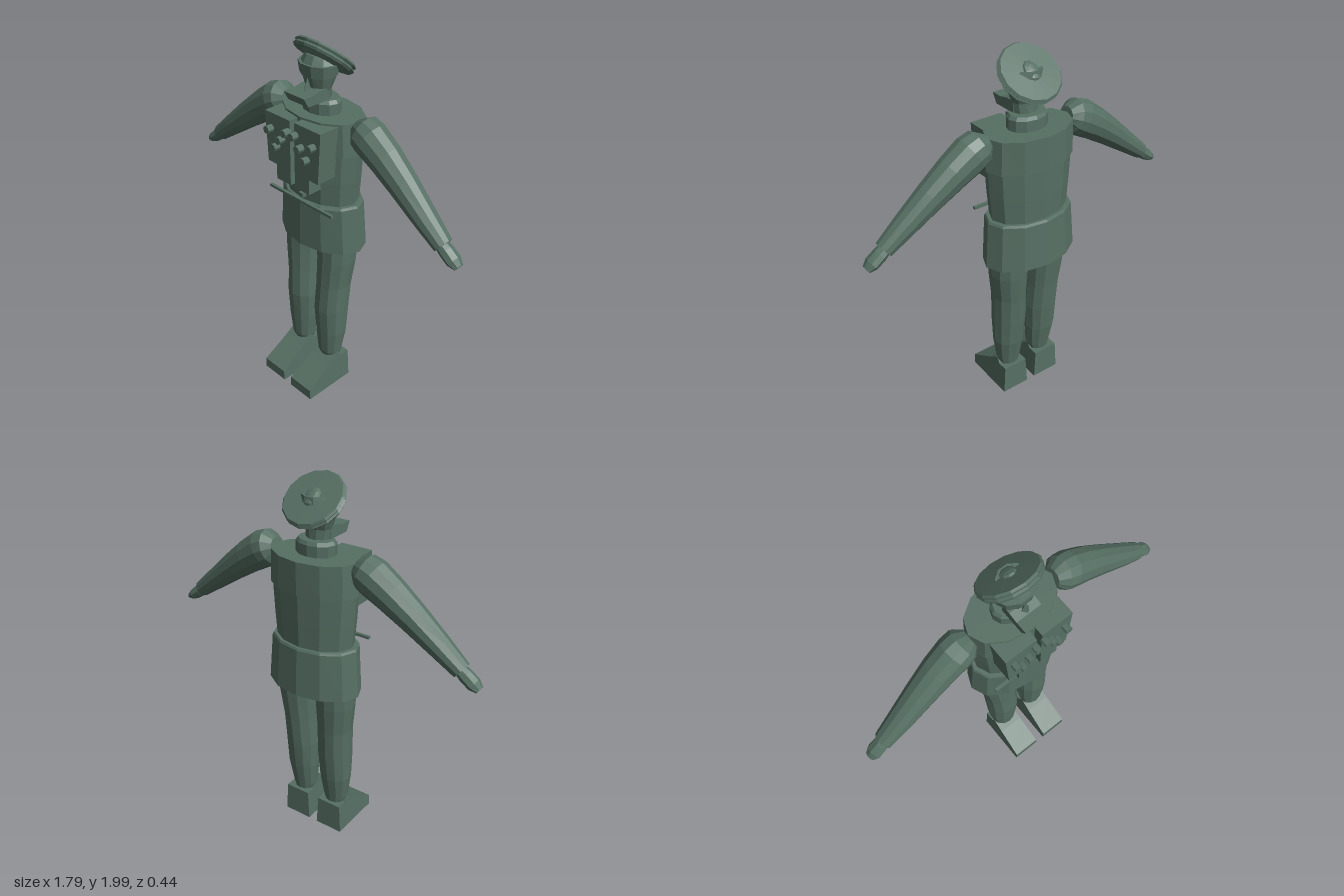
import * as THREE from 'three';

const cloth = new THREE.MeshStandardMaterial({ color: 0x566f63, flatShading: true });
cloth.name = 'drab green';

export function createModel() {
  const model = new THREE.Group();
  model.name = 'uniformedFigure';

  const add = (name, geo, parent = model) => {
    const mesh = new THREE.Mesh(geo, cloth);
    mesh.name = name;
    parent.add(mesh);
    return mesh;
  };
  const box = (name, w, h, d, x, y, z, parent) => {
    const mesh = add(name, new THREE.BoxGeometry(w, h, d), parent);
    mesh.position.set(x, y, z);
    return mesh;
  };

  // Closed skin over elliptical rings [centre, u axis, v axis], u x v along the path
  const loft = (rings, n) => {
    const pos = [];
    const pt = ([c, u, v], j) => {
      const t = (j % n) / n * Math.PI * 2;
      return c.clone().addScaledVector(u, Math.cos(t)).addScaledVector(v, Math.sin(t));
    };
    const tri = (...p) => p.forEach(q => pos.push(q.x, q.y, q.z));
    const last = rings[rings.length - 1];
    for (let j = 0; j < n; j++) {
      for (let i = 0; i < rings.length - 1; i++) {
        const a = pt(rings[i], j), b = pt(rings[i], j + 1);
        const c = pt(rings[i + 1], j + 1), d = pt(rings[i + 1], j);
        tri(a, b, d);
        tri(b, c, d);
      }
      tri(rings[0][0], pt(rings[0], j + 1), pt(rings[0], j));
      tri(last[0], pt(last, j), pt(last, j + 1));
    }
    const geo = new THREE.BufferGeometry();
    geo.setAttribute('position', new THREE.Float32BufferAttribute(pos, 3));
    geo.computeVertexNormals();
    return geo;
  };
  const V = (x, y, z) => new THREE.Vector3(x, y, z);

  // Upright rings, bottom to top: [x, y, z, radiusX, radiusZ]
  const column = (rows, n) => loft(rows.map(([x, y, z, rx, rz]) =>
    [V(x, y, z), V(rx, 0, 0), V(0, 0, -rz)]), n);

  // Sideways limb: [x, y, z, radius in elevation, radius in z]
  const limb = (rows, n) => loft(rows.map(([x, y, z, r, rz], i) => {
    const p = rows[Math.max(i - 1, 0)], q = rows[Math.min(i + 1, rows.length - 1)];
    const d = V(q[0] - p[0], q[1] - p[1], 0).normalize();
    return [V(x, y, z), V(0, 0, rz), d.cross(V(0, 0, 1)).multiplyScalar(r)];
  }), n);

  // Jacket, vest and skirt
  add('jacket', column([
    [0, 1.14, -0.047, 0.215, 0.14], [0, 1.3, -0.045, 0.228, 0.147],
    [0, 1.45, -0.045, 0.236, 0.15], [0, 1.615, -0.045, 0.23, 0.15]], 12));
  add('vestShell', column([
    [0, 1.45, -0.047, 0.246, 0.156], [0, 1.62, -0.047, 0.238, 0.155]], 12));
  add('jacketSkirt', column([
    [0, 0.91, -0.052, 0.265, 0.168], [0, 1.16, -0.047, 0.245, 0.16],
    [0, 1.172, -0.047, 0.238, 0.153]], 12));
  add('collar', column([
    [0, 1.6, -0.037, 0.108, 0.08], [0, 1.675, -0.037, 0.108, 0.08],
    [0, 1.692, -0.037, 0.095, 0.07]], 12));

  for (const s of [1, -1]) {
    const side = s > 0 ? 'left' : 'right';

    // Stepped chest panel
    const panel = new THREE.Shape([[0.015, 1.61], [0.19, 1.61], [0.175, 1.345],
      [0.115, 1.345], [0.115, 1.265], [0.015, 1.265]].map(([x, y]) => new THREE.Vector2(s * x, y)));
    add(side + 'ChestPanel', new THREE.ExtrudeGeometry(panel, { depth: 0.12, bevelEnabled: false }))
      .position.z = 0.037;

    // Studs on the panel
    for (const [x, y] of [[0.146, 1.53], [0.066, 1.5], [0.103, 1.45], [0.027, 1.55]]) {
      const stud = add(side + 'Stud', new THREE.CylinderGeometry(0.02, 0.02, 0.04, 8));
      stud.rotation.x = Math.PI / 2;
      stud.position.set(s * x, y, 0.173);
    }

    // Arm, cuff and hand
    add(side + 'Arm', limb([
      [s * 0.235, 1.6, -0.04, 0.045, 0.05], [s * 0.275, 1.59, -0.04, 0.088, 0.085],
      [s * 0.32, 1.568, -0.038, 0.096, 0.09], [s * 0.42, 1.505, -0.036, 0.087, 0.084],
      [s * 0.54, 1.418, -0.03, 0.074, 0.074], [s * 0.68, 1.31, -0.022, 0.058, 0.062],
      [s * 0.79, 1.225, -0.018, 0.045, 0.05]], 12));
    add(side + 'Hand', limb([
      [s * 0.77, 1.238, -0.017, 0.026, 0.035], [s * 0.81, 1.207, -0.017, 0.034, 0.04],
      [s * 0.855, 1.175, -0.017, 0.032, 0.042], [s * 0.885, 1.155, -0.017, 0.017, 0.028]], 8));

    // Trouser leg
    add(side + 'Leg', column([
      [s * 0.105, 0.14, -0.01, 0.05, 0.045], [s * 0.105, 0.2, -0.005, 0.07, 0.06],
      [s * 0.107, 0.34, -0.012, 0.088, 0.08], [s * 0.105, 0.5, -0.015, 0.094, 0.095],
      [s * 0.11, 0.66, -0.025, 0.093, 0.097], [s * 0.118, 0.82, -0.035, 0.104, 0.104],
      [s * 0.118, 0.95, -0.04, 0.11, 0.108]], 12));

    // Wedge boot, narrower toward the ankle
    const profile = new THREE.Shape([[-0.08, 0], [0.225, 0], [0.225, 0.06], [0.2, 0.075],
      [0.07, 0.155], [0, 0.205], [-0.02, 0.17], [-0.078, 0.17]].map(p => new THREE.Vector2(...p)));
    const boot = new THREE.ExtrudeGeometry(profile, { depth: 0.162, bevelEnabled: false });
    boot.translate(0, 0, -0.081).rotateY(-Math.PI / 2);
    const p = boot.attributes.position;
    for (let i = 0; i < p.count; i++) p.setX(i, p.getX(i) * (1 - 0.75 * p.getY(i)));
    boot.computeVertexNormals();
    add(side + 'Boot', boot).position.x = s * 0.107;
  }

  // Buckle and the thin rod at the waist
  box('buckle', 0.028, 0.022, 0.03, 0.012, 1.206, 0.102);
  box('waistRod', 0.445, 0.014, 0.016, 0, 1.166, 0.107);

  // Head with goggles, nose and jutting beard
  const head = new THREE.Group();
  head.name = 'head';
  model.add(head);
  add('skull', column([
    [0, 1.66, -0.025, 0.06, 0.05], [0, 1.74, -0.015, 0.07, 0.055],
    [0, 1.8, -0.02, 0.088, 0.078], [0, 1.86, -0.022, 0.096, 0.085],
    [0, 1.9, -0.03, 0.075, 0.07]], 10), head);
  add('goggles', column([
    [0, 1.805, -0.015, 0.1, 0.08], [0, 1.862, -0.015, 0.108, 0.088]], 10), head);
  const nose = add('nose', new THREE.ConeGeometry(0.022, 0.06, 4), head);
  nose.position.set(0, 1.77, 0.055);
  const beard = new THREE.Shape([[-0.02, 1.69], [0.115, 1.69], [0.142, 1.738], [0.08, 1.738],
    [0.03, 1.75], [-0.02, 1.75]].map(p => new THREE.Vector2(...p)));
  const beardGeo = new THREE.ExtrudeGeometry(beard, { depth: 0.136, bevelEnabled: false });
  add('beard', beardGeo.translate(0, 0, -0.068).rotateY(-Math.PI / 2), head);

  // Flat cap tipped back, with inner band, double rim and crown button
  const cap = new THREE.Group();
  cap.name = 'cap';
  cap.position.set(0, 1.88, -0.055);
  cap.rotation.x = -0.69;
  model.add(cap);
  const capProfile = [[0, -0.035], [0.095, -0.035], [0.115, -0.022], [0.15, -0.024], [0.158, -0.012],
    [0.15, -0.003], [0.158, 0.008], [0.15, 0.018], [0, 0.022]].map(p => new THREE.Vector2(...p));
  add('capDisc', new THREE.LatheGeometry(capProfile, 14), cap);
  const button = add('capButton', new THREE.SphereGeometry(0.045, 10, 6), cap);
  button.scale.set(0.9, 0.4, 1.2);
  button.position.set(0, 0.02, 0);

  return model;
}
